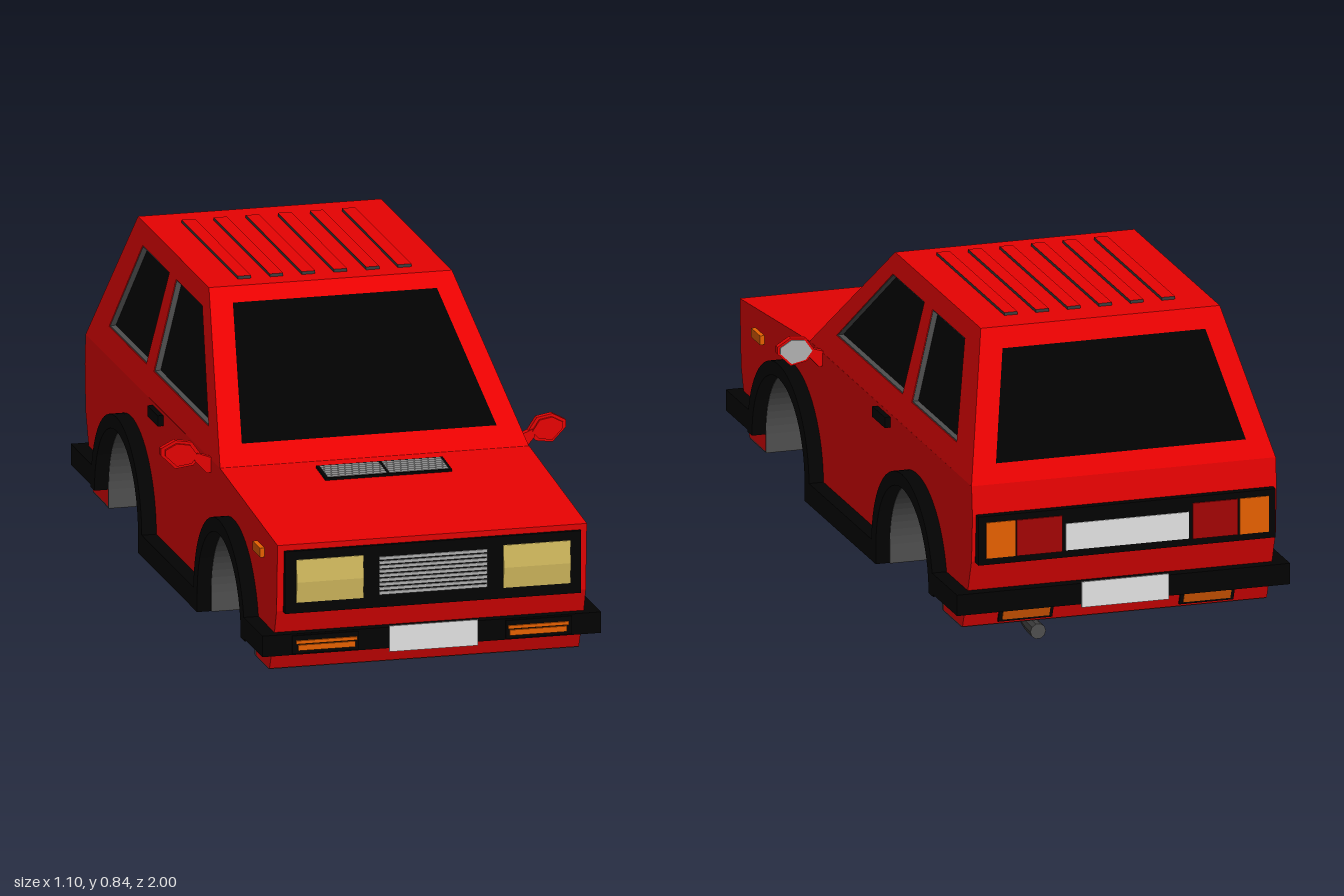
import * as THREE from 'three';
import { ConvexGeometry } from 'three/addons/geometries/ConvexGeometry.js';

const mat = (name, color, side = THREE.FrontSide) => {
  const m = new THREE.MeshStandardMaterial({ color, side, flatShading: true });
  m.name = name;
  return m;
};

export function createModel() {
  const car = new THREE.Group();
  car.name = 'hatchback';

  const red = mat('bodyRed', 0xe60202);
  const glass = mat('glassBlack', 0x020202, THREE.DoubleSide);
  const black = mat('trimBlack', 0x030303);
  const under = mat('undersideGrey', 0x3e3e3e);
  const grey = mat('wellGrey', 0x4e4e4e, THREE.DoubleSide);
  const silver = mat('plateSilver', 0xe2e2e2);
  const slatGrey = mat('slatGrey', 0xb0b0b0);
  const orange = mat('indicatorOrange', 0xe66000);
  const cream = mat('headlightCream', 0xd2ba5e);
  const tail = mat('tailRed', 0xa20404);

  const add = (name, geo, material, parent = car) => {
    const m = new THREE.Mesh(geo, material);
    m.name = name;
    parent.add(m);
    return m;
  };
  // box given by its min and max on each axis
  const box = (name, material, x0, x1, y0, y1, z0, z1, parent) => {
    const g = new THREE.BoxGeometry(x1 - x0, y1 - y0, z1 - z0);
    const m = add(name, g, material, parent);
    m.position.set((x0 + x1) / 2, (y0 + y1) / 2, (z0 + z1) / 2);
    return m;
  };
  // same box on both sides of the car
  const boxPair = (name, material, x0, x1, ...rest) => {
    box(name + 'Left', material, x0, x1, ...rest);
    box(name + 'Right', material, -x1, -x0, ...rest);
  };
  // side-view shape (z, y) extruded along x, optionally leaning inwards above the waist
  const WAIST = 0.462, LEAN = 0.09 / 0.368;
  const slab = (name, material, shape, x0, x1, lean = 0) => {
    const g = new THREE.ExtrudeGeometry(shape, { depth: x1 - x0, bevelEnabled: false, curveSegments: 16 });
    g.rotateY(-Math.PI / 2);
    g.translate(x1, 0, 0);
    const p = g.attributes.position;
    for (let i = 0; i < p.count; i++) p.setX(i, p.getX(i) - lean * (p.getY(i) - WAIST));
    g.computeVertexNormals();
    return add(name, g, material);
  };
  const slabPair = (name, material, shape, x0, x1, lean = 0) => {
    slab(name + 'Left', material, shape, x0, x1, lean);
    slab(name + 'Right', material, shape, -x1, -x0, -lean);
  };
  const poly = pts => new THREE.Shape(pts.map(p => new THREE.Vector2(p[0], p[1])));

  const W = 0.42, FLOOR = 0.055, AXLE = 0.105, R = 0.222, WELL = 0.26;
  const wheels = [0.537, -0.505];

  // lower body: solid core and two flanks with wheel arches cut out
  const upper = [[0.90, FLOOR], [0.95, 0.165], [0.972, 0.23], [0.982, 0.412], [0.40, 0.465],
    [-0.966, WAIST], [-0.974, 0.38], [-0.966, 0.255], [-0.934, 0.165], [-0.89, FLOOR]];
  slab('bodyCore', red, poly(upper), -WELL, WELL);
  const flank = poly(upper);
  for (const z of [...wheels].reverse()) {
    flank.lineTo(z - R, FLOOR);
    flank.lineTo(z - R, AXLE);
    flank.absarc(z, AXLE, R, Math.PI, 0, true);
    flank.lineTo(z + R, FLOOR);
  }
  slabPair('bodyFlank', red, flank, WELL, W);

  // wheel wells and arch flares
  const arch = (z, ro, ri, base) => {
    const s = new THREE.Shape();
    s.moveTo(z + ro, base);
    s.lineTo(z + ro, AXLE);
    s.absarc(z, AXLE, ro, 0, Math.PI, false);
    s.lineTo(z - ro, base);
    if (ri) {
      s.lineTo(z - ri, base);
      s.lineTo(z - ri, AXLE);
      s.absarc(z, AXLE, ri, Math.PI, 0, true);
      s.lineTo(z + ri, base);
    }
    return s;
  };
  for (const z of wheels) {
    slabPair('wheelWellLiner', grey, arch(z, R + 0.002, R - 0.003, FLOOR), WELL, W + 0.002);
    slabPair('wheelWellWall', grey, arch(z, R, 0, FLOOR), WELL, WELL + 0.004);
    slabPair('archFlare', black, arch(z, R + 0.037, R - 0.001, AXLE - 0.001), W, 0.46);
  }

  // underside
  const [zf, zr] = wheels;
  box('floorCentre', under, -WELL, WELL, 0.052, 0.057, -0.885, 0.895);
  boxPair('floorMiddle', under, WELL, W, 0.052, 0.057, zr + R, zf - R);
  boxPair('floorFront', under, WELL, W, 0.052, 0.057, zf + R, 0.895);
  boxPair('floorRear', under, WELL, W, 0.052, 0.057, -0.885, zr - R);
  boxPair('sideSkirt', black, W - 0.01, 0.46, 0.054, 0.112, zr + R, zf - R);

  // cabin: a core, with sheet sides that have window openings
  const DEEP = 0.02;
  const cabin = [];
  for (const s of [-1, 1]) {
    for (const [z, y] of [[0.40, WAIST], [-0.966, WAIST], [-0.05, 0.83], [-0.77, 0.83]]) {
      cabin.push(new THREE.Vector3(s * (W - DEEP - (y - WAIST) * LEAN), y, z));
    }
  }
  add('cabinCore', new ConvexGeometry(cabin), red);
  const sideWindows = {
    frontSideWindow: [[0.22, 0.53], [-0.335, 0.53], [-0.335, 0.777], [-0.07, 0.777]],
    rearSideWindow: [[-0.412, 0.53], [-0.79, 0.53], [-0.675, 0.777], [-0.403, 0.777]],
  };
  const cabinSide = poly([[0.40, WAIST], [-0.05, 0.83], [-0.77, 0.83], [-0.966, WAIST]]);
  for (const [name, pts] of Object.entries(sideWindows)) {
    cabinSide.holes.push(poly(pts));
    const reveal = poly(pts);
    const cz = pts.reduce((a, p) => a + p[0] / 4, 0);
    reveal.holes.push(poly(pts.map(([z, y]) => [cz + (z - cz) * 0.985, 0.6535 + (y - 0.6535) * 0.975])));
    slabPair(name + 'Reveal', grey, reveal, W - DEEP, W - 0.002, LEAN);
    slabPair(name + 'Glass', glass, poly(pts), W - DEEP, W - DEEP + 0.003, LEAN);
  }
  slabPair('cabinSide', red, cabinSide, W - DEEP, W, LEAN);

  // windscreen and rear window, corners counter-clockwise from outside
  const pane = (name, pts) => {
    const v = pts.map(p => new THREE.Vector3(...p));
    const n = v[1].clone().sub(v[0]).cross(v[2].clone().sub(v[0])).normalize();
    for (const p of v) p.addScaledVector(n, 0.003);
    const g = new THREE.BufferGeometry().setFromPoints([v[0], v[1], v[2], v[0], v[2], v[3]]);
    g.computeVertexNormals();
    add(name, g, glass);
  };
  const shieldZ = y => 0.40 - (y - WAIST) * 0.45 / 0.368;
  const hatchZ = y => -0.966 + (y - WAIST) * 0.196 / 0.368;
  pane('windscreen', [[-0.346, 0.51], [0.346, 0.51], [0.277, 0.795], [-0.277, 0.795]]
    .map(([x, y]) => [x, y, shieldZ(y)]));
  pane('rearWindow', [[0.345, 0.51], [-0.345, 0.51], [-0.28, 0.778], [0.28, 0.778]]
    .map(([x, y]) => [x, y, hatchZ(y)]));

  // roof ribs: dark edges, body-coloured tops
  for (let i = 0; i < 6; i++) {
    const x = (i - 2.5) * 0.087;
    box('roofRib', [under, under, red, under, under, under], x - 0.018, x + 0.018, 0.825, 0.838, -0.68, -0.11);
  }

  // bonnet vent
  const vent = new THREE.Group();
  vent.name = 'bonnetVent';
  vent.position.set(0, 0.458, 0.493);
  vent.rotation.x = 0.09;
  car.add(vent);
  box('ventBase', black, -0.172, 0.172, -0.01, 0.005, -0.048, 0.048, vent);
  for (let i = 0; i < 6; i++) {
    const z = (i - 2.5) * 0.0145;
    for (const s of [-1, 1]) box('ventSlat', slatGrey, s * 0.084 - 0.08, s * 0.084 + 0.08, 0, 0.007, z - 0.005, z + 0.005, vent);
  }

  // front grille and headlights
  box('grilleFrame', black, -0.402, 0.402, 0.227, 0.396, 0.95, 0.992);
  for (let i = 0; i < 9; i++) {
    const y = 0.266 + i * 0.0118;
    box('grilleSlat', slatGrey, -0.147, 0.147, y - 0.0042, y + 0.0042, 0.985, 0.996);
  }
  slabPair('headlight', cream, poly([[0.98, 0.254], [0.994, 0.256], [1, 0.312], [0.994, 0.372], [0.98, 0.374]]), 0.19, 0.372);

  // bumpers
  box('frontBumper', black, -0.46, 0.46, 0.11, 0.167, 0.90, 0.978);
  box('rearBumper', black, -0.46, 0.46, 0.11, 0.167, -0.966, -0.89);
  boxPair('frontBumperSide', black, W - 0.01, 0.46, 0.11, 0.167, zf + R, 0.91);
  boxPair('rearBumperSide', black, W - 0.01, 0.46, 0.11, 0.167, -0.90, zr - R);
  boxPair('frontIndicatorFrame', black, 0.2, 0.38, 0.114, 0.163, 0.97, 0.983);
  boxPair('frontIndicatorLower', orange, 0.21, 0.365, 0.123, 0.138, 0.98, 0.988);
  boxPair('frontIndicatorUpper', orange, 0.205, 0.37, 0.141, 0.15, 0.98, 0.988);
  box('frontPlateMount', black, -0.1, 0.1, 0.125, 0.15, 0.97, 0.992);
  box('frontPlate', silver, -0.12, 0.12, 0.105, 0.175, 0.991, 0.996);
  box('rearPlateMount', black, -0.1, 0.1, 0.125, 0.15, -0.976, -0.96);
  box('rearPlate', silver, -0.12, 0.12, 0.105, 0.175, -0.98, -0.975);

  // rear light cluster, lamps almost flush in the panel
  box('rearPanel', black, -0.41, 0.41, 0.252, 0.385, -0.996, -0.95);
  box('rearCentrePanel', silver, -0.17, 0.17, 0.272, 0.345, -0.999, -0.985);
  boxPair('tailLight', tail, 0.18, 0.305, 0.27, 0.368, -1, -0.985);
  boxPair('rearIndicator', orange, 0.31, 0.39, 0.27, 0.368, -0.999, -0.985);
  for (const s of [-1, 1]) {
    const frame = box('rearFogFrame', black, s * 0.25 - 0.075, s * 0.25 + 0.075, 0.062, 0.106, -0.907, -0.897);
    const lamp = box('rearFogLamp', orange, s * 0.25 - 0.065, s * 0.25 + 0.065, 0.069, 0.099, -0.91, -0.9);
    frame.rotation.x = lamp.rotation.x = -0.38;
  }

  // side details
  boxPair('doorHandle', black, W - 0.005, 0.435, 0.425, 0.454, -0.283, -0.177);
  boxPair('sideIndicator', orange, W - 0.005, 0.432, 0.345, 0.37, 0.775, 0.85);

  // door mirrors, swept back slightly towards the tip
  const head = [[0.442, 0.475], [0.468, 0.512], [0.512, 0.518], [0.55, 0.497], [0.55, 0.478], [0.512, 0.441], [0.465, 0.449]];
  const arm = [[0.415, 0.468], [0.415, 0.43], [0.43, 0.427], [0.462, 0.462], [0.455, 0.482]];
  for (const s of [-1, 1]) {
    const cut = (name, material, pts, grow, z0, z1) => {
      const g = new THREE.ExtrudeGeometry(poly(pts.map(([x, y]) => [s * (0.5 + (x - 0.5) * grow), 0.48 + (y - 0.48) * grow])),
        { depth: z1 - z0, bevelEnabled: false });
      g.translate(0, 0, z0);
      const p = g.attributes.position;
      for (let i = 0; i < p.count; i++) p.setZ(i, p.getZ(i) - (Math.abs(p.getX(i)) - W) * 0.12);
      g.computeVertexNormals();
      add(name, g, material);
    };
    cut('mirrorHead', red, head, 1, 0.284, 0.301);
    cut('mirrorCap', red, head, 0.8, 0.301, 0.308);
    cut('mirrorGlass', slatGrey, head, 0.85, 0.281, 0.285);
    cut('mirrorArm', red, arm, 1, 0.285, 0.305);
  }

  // exhaust with a closed tip
  const pipe = new THREE.CatmullRomCurve3([[0.075, -0.75], [0.045, -0.77], [0.026, -0.82], [0.0215, -0.887]]
    .map(([y, z]) => new THREE.Vector3(0.21, y, z)));
  add('exhaustPipe', new THREE.TubeGeometry(pipe, 8, 0.0215, 10), under);
  const tip = add('exhaustTip', new THREE.CircleGeometry(0.0215, 10), grey);
  tip.position.set(0.21, 0.0215, -0.886);

  return car;
}
